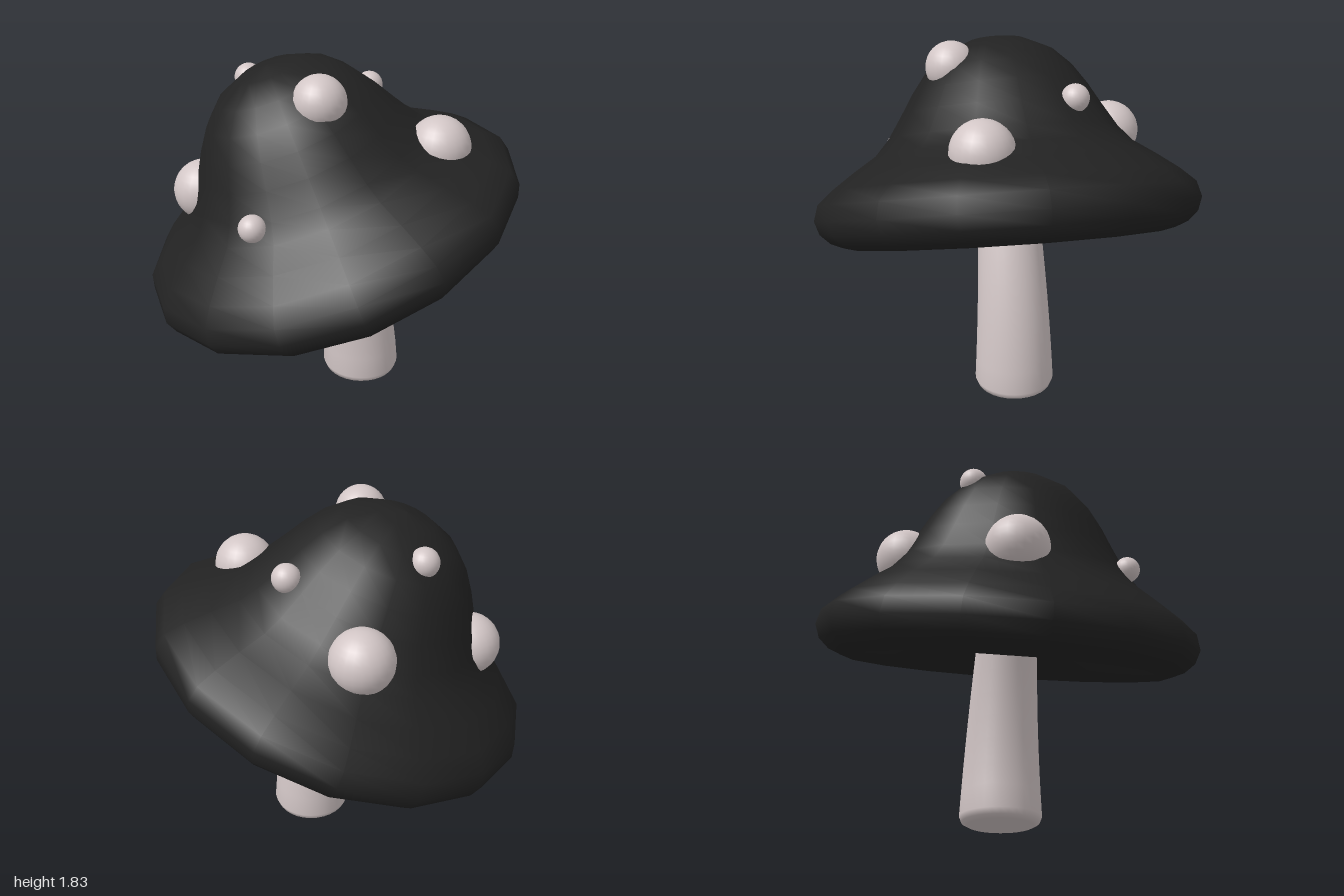
import * as THREE from 'three';
import { mergeVertices } from 'three/addons/utils/BufferGeometryUtils.js';

const toPoints = (pairs) => pairs.map(([x, y]) => new THREE.Vector2(x, y));

export function createModel() {
  const black = new THREE.MeshStandardMaterial({ color: 0x222222 });
  black.name = 'cap black';
  const pale = new THREE.MeshStandardMaterial({ color: 0xd2c6c6 });
  pale.name = 'pale flesh';

  const group = new THREE.Group();
  group.name = 'mushroom';
  const add = (name, geometry, material) => {
    const mesh = new THREE.Mesh(geometry, material);
    mesh.name = name;
    group.add(mesh);
    return mesh;
  };

  // Cap: hollow underside, rolled rim and bell-shaped top, tilted sideways
  const capProfile = toPoints([
    [0, 0.21], [0.2, 0.2], [0.4, 0.15], [0.55, 0.075], [0.64, -0.01],
    [0.71, -0.09], [0.78, -0.135], [0.86, -0.147], [0.925, -0.12], [0.977, -0.07],
    [1, 0], [0.977, 0.08], [0.9, 0.15], [0.79, 0.23], [0.67, 0.31],
    [0.6, 0.39], [0.525, 0.51], [0.46, 0.62], [0.385, 0.725], [0.29, 0.815],
    [0.15, 0.88], [0, 0.9],
  ]);
  const cap = add('cap', new THREE.LatheGeometry(capProfile, 16), black);
  cap.position.set(0, 0.95, 0);
  cap.rotation.z = THREE.MathUtils.degToRad(20);

  // Stem: tapered lathe with a rounded foot, bent towards -x as it rises
  const stemProfile = [[0, 0], [0.17, 0.005], [0.198, 0.02], [0.21, 0.05]];
  for (let i = 1; i <= 10; i++) {
    const t = i / 10;
    stemProfile.push([0.21 - 0.065 * t, 0.05 + 1.17 * t]);
  }
  stemProfile.push([0, 1.22]);
  let stem = new THREE.LatheGeometry(toPoints(stemProfile), 32);
  const pos = stem.attributes.position;
  for (let i = 0; i < pos.count; i++) {
    const y = pos.getY(i);
    pos.setX(i, pos.getX(i) + 0.177 - 0.18 * y * y);
  }
  stem.deleteAttribute('uv');
  stem.deleteAttribute('normal');
  stem = mergeVertices(stem);
  stem.computeVertexNormals();
  add('stem', stem, pale);

  // Spots: balls sunk into the cap, as x, y, z, radius
  const spots = [
    [-0.09, 1.69, 0.27, 0.13],
    [0.505, 1.415, 0.215, 0.155],
    [-0.1, 1.32, -0.565, 0.157],
    [-0.64, 1.13, -0.085, 0.157],
    [-0.38, 1.66, -0.26, 0.072],
    [0.25, 1.585, -0.28, 0.07],
    [-0.435, 1.2, 0.53, 0.065],
  ];
  spots.forEach(([x, y, z, r], i) => {
    add(`spot${i + 1}`, new THREE.SphereGeometry(r, 24, 16), pale).position.set(x, y, z);
  });

  return group;
}
